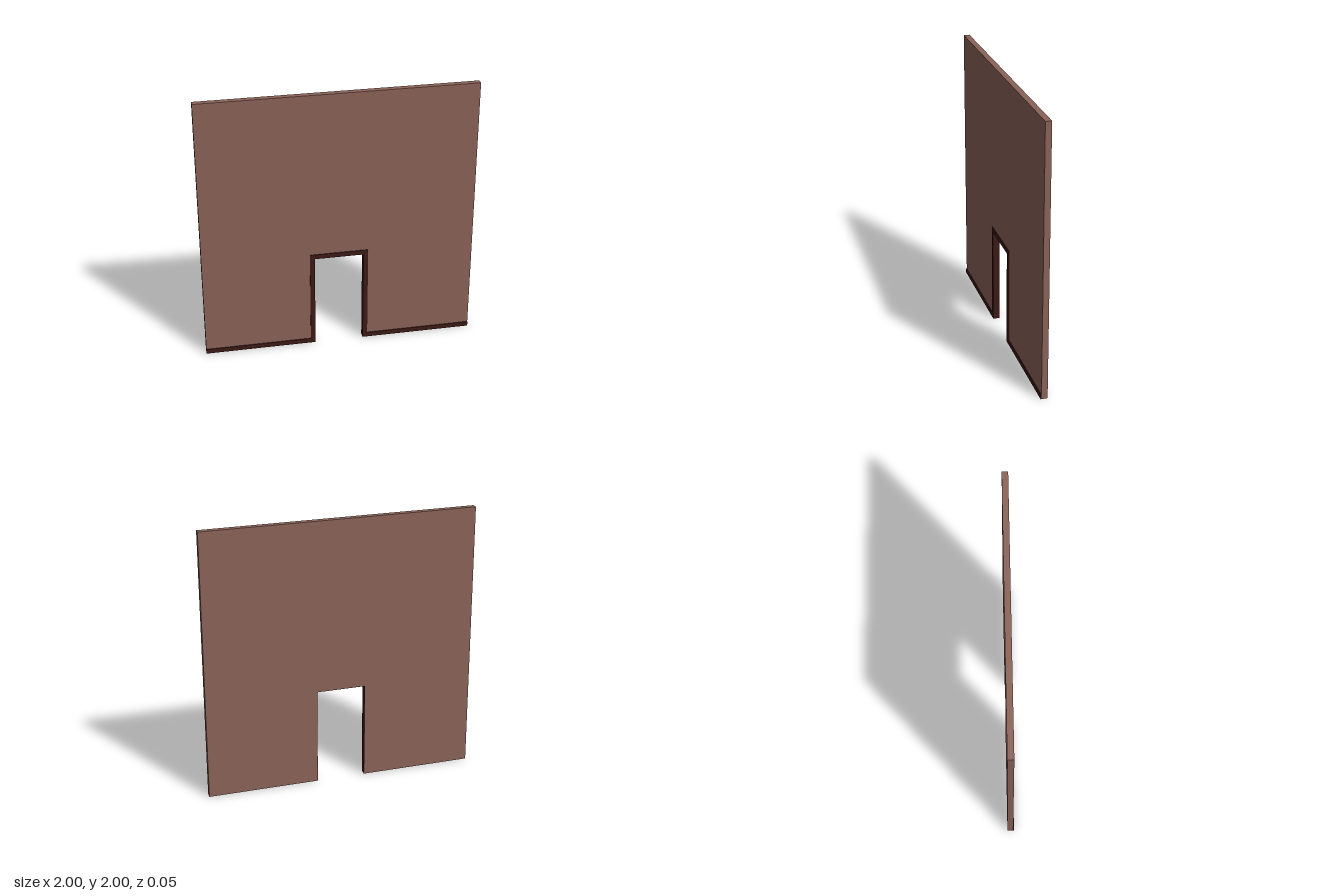
import * as THREE from 'three';

const BACK = -0.025, FACE = 0.019, FRONT = 0.025; // wall back, wall face, trim face
const DOOR_W = 0.18, DOOR_H = 0.72;               // half width and height of the opening
const TRIM = 0.035, LINING = 0.002;

// Extrudes an outline of [x, y] points between two depths
function slab(name, points, z0, z1, material) {
  const shape = new THREE.Shape(points.map(([x, y]) => new THREE.Vector2(x, y)));
  const geometry = new THREE.ExtrudeGeometry(shape, { depth: z1 - z0, bevelEnabled: false });
  geometry.translate(0, 0, z0);
  const mesh = new THREE.Mesh(geometry, material);
  mesh.name = name;
  return mesh;
}

// Upside-down U outline around the doorway
function arch(w, h, t) {
  return [[-w - t, 0], [-w, 0], [-w, h], [w, h], [w, 0], [w + t, 0], [w + t, h + t], [-w - t, h + t]];
}

export function createModel() {
  const model = new THREE.Group();
  model.name = 'wallWithDoorway';
  const plaster = new THREE.MeshStandardMaterial({ color: 0x8b6358 });
  const wood = new THREE.MeshStandardMaterial({ color: 0x3d1a16 });

  // Wall panel with the doorway cut out of its lower edge
  const w = DOOR_W + LINING, h = DOOR_H + LINING;
  model.add(slab('wall', [
    [-1, 0], [-w, 0], [-w, h], [w, h], [w, 0], [1, 0], [1, 2], [-1, 2],
  ], BACK, FACE, plaster));

  // Dark lining through the depth of the opening
  model.add(slab('doorLining', arch(DOOR_W, DOOR_H, LINING), BACK, FACE, wood));

  // Raised frame around the doorway
  model.add(slab('doorFrame', arch(DOOR_W, DOOR_H, TRIM), FACE, FRONT, wood));

  // Skirting boards on either side of the frame
  const inner = DOOR_W + TRIM;
  for (const side of [-1, 1]) {
    const board = new THREE.Mesh(new THREE.BoxGeometry(1 - inner, TRIM, FRONT - FACE), wood);
    board.position.set(side * (1 + inner) / 2, TRIM / 2, (FRONT + FACE) / 2);
    board.name = side > 0 ? 'leftSkirting' : 'rightSkirting';
    model.add(board);
  }
  return model;
}
